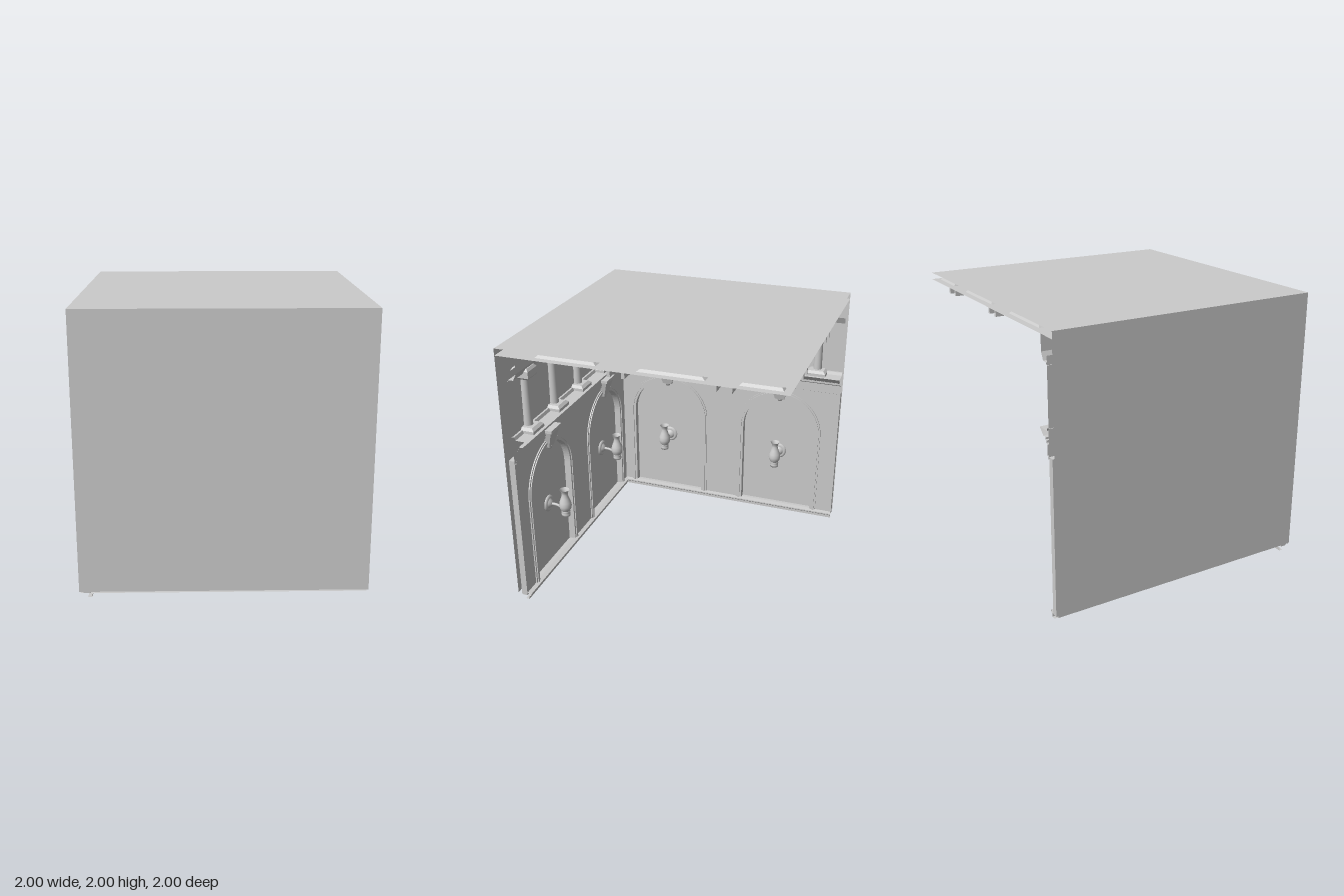
import * as THREE from 'three';

const smooth = new THREE.MeshStandardMaterial({ color: 0xcccccc, side: THREE.DoubleSide });
const flat = new THREE.MeshStandardMaterial({ color: 0xcccccc, side: THREE.DoubleSide, flatShading: true });
const WALL = 0.075; // inner wall face, measured from the outer sheet
const NICHE = 0.03; // back of the arched niches
const SPRING = 0.765; // height where the arches start to curve

function add(parent, name, geometry, material = flat, x = 0, y = 0, z = 0) {
  const mesh = new THREE.Mesh(geometry, material);
  mesh.name = name;
  mesh.position.set(x, y, z);
  parent.add(mesh);
  return mesh;
}

const box = (w, h, d) => new THREE.BoxGeometry(w, h, d);
const vectors = (points) => points.map(([x, y]) => new THREE.Vector2(x, y));
const turned = (points, sides = 24) => new THREE.LatheGeometry(vectors(points), sides);

// Square-plan solid from a profile of [half width, y]
const squareTurned = (points) =>
  new THREE.LatheGeometry(vectors(points.map(([r, y]) => [r * Math.SQRT2, y])), 4, Math.PI / 4);

// Straight moulding: a profile of [depth, y] swept along x from -1 to 1
function moulding(profile) {
  const pos = [];
  for (let i = 0; i < profile.length - 1; i++) {
    const [d0, y0] = profile[i], [d1, y1] = profile[i + 1];
    pos.push(-1, y0, d0, -1, y1, d1, 1, y1, d1, -1, y0, d0, 1, y1, d1, 1, y0, d0);
  }
  const g = new THREE.BufferGeometry();
  g.setAttribute('position', new THREE.Float32BufferAttribute(pos, 3));
  g.computeVertexNormals();
  return g;
}

// Round-headed outline, traced on a path or shape
function arch(path, cx, r, bottom) {
  path.moveTo(cx - r, bottom);
  path.lineTo(cx + r, bottom);
  path.lineTo(cx + r, SPRING);
  path.absarc(cx, SPRING, r, 0, Math.PI, false);
  path.lineTo(cx - r, bottom);
  return path;
}

// Band that follows the arch, open at the foot
function archBand(outer, inner, depth) {
  const s = new THREE.Shape();
  s.moveTo(outer, 0.045);
  s.lineTo(outer, SPRING);
  s.absarc(0, SPRING, outer, 0, Math.PI, false);
  s.lineTo(-outer, 0.045);
  s.lineTo(-inner, 0.045);
  s.lineTo(-inner, SPRING);
  s.absarc(0, SPRING, inner, Math.PI, 0, true);
  s.lineTo(inner, 0.045);
  return new THREE.ExtrudeGeometry(s, { depth, bevelEnabled: false, curveSegments: 20 });
}

function keystone() {
  const g = new THREE.Group();
  g.name = 'keystone';
  const wedge = box(0.15, 0.14, 0.12);
  const p = wedge.attributes.position;
  for (let i = 0; i < p.count; i++) {
    if (p.getY(i) > 0) continue;
    p.setX(i, p.getX(i) * 0.52);
    if (p.getZ(i) > 0) p.setZ(i, 0.02);
  }
  add(g, 'keystoneWedge', wedge, flat, 0, 1.13, 0.08);
  add(g, 'keystoneCap', box(0.16, 0.022, 0.13), flat, 0, 1.21, 0.085);
  add(g, 'keystoneDrop', turned([[0, 1.038], [0.018, 1.042], [0.022, 1.06]], 12), smooth, 0, 0, 0.08);
  return g;
}

function sconce() {
  const g = new THREE.Group();
  g.name = 'sconce';
  const plate = turned([[0.065, 0], [0.065, 0.012], [0.05, 0.02], [0.046, 0.014], [0.035, 0.018], [0.025, 0.035], [0, 0.038]]);
  add(g, 'sconcePlate', plate, smooth, 0, 0.55, NICHE).rotation.x = Math.PI / 2;
  const bend = new THREE.CatmullRomCurve3([[0.55, 0.05], [0.548, 0.11], [0.53, 0.15], [0.51, 0.18]]
    .map(([y, z]) => new THREE.Vector3(0, y, z)));
  add(g, 'sconceArm', new THREE.TubeGeometry(bend, 12, 0.011, 8), smooth);
  add(g, 'sconceCup', turned([[0, 0.47], [0.033, 0.47], [0.035, 0.488], [0.028, 0.495], [0.035, 0.505], [0.03, 0.515]]), smooth, 0, 0, 0.18);
  add(g, 'sconceShade', turned([[0.03, 0.512], [0.044, 0.535], [0.049, 0.56], [0.044, 0.59],
    [0.031, 0.625], [0.023, 0.655], [0.026, 0.675], [0.038, 0.697]]), smooth, 0, 0, 0.18);
  return g;
}

function column() {
  const g = new THREE.Group();
  g.name = 'column';
  add(g, 'columnStub', box(0.06, 0.045, 0.06), flat, 0, 1.315);
  add(g, 'columnBase', squareTurned([[0, 1.335], [0.08, 1.335], [0.08, 1.358], [0.06, 1.376], [0, 1.376]]));
  add(g, 'columnShaft', new THREE.CylinderGeometry(0.03, 0.034, 0.37, 20, 1, true), smooth, 0, 1.555);
  add(g, 'columnCapital', squareTurned([[0, 1.735], [0.052, 1.735], [0.066, 1.75], [0.066, 1.8], [0.052, 1.818], [0, 1.818]]));
  return g;
}

// One wall, its inner face towards +z; corner is the x sign of the room corner
function wall(corner) {
  const g = new THREE.Group();
  g.name = 'wall';
  add(g, 'outerSheet', new THREE.PlaneGeometry(2, 1.96), flat, 0, 1.02, 0);

  const face = new THREE.Shape(vectors([[-1, 0.03], [1, 0.03], [1, 1.17], [-1, 1.17]]));
  for (const cx of [-0.5, 0.5]) face.holes.push(arch(new THREE.Path(), cx, 0.31, 0.045));
  add(g, 'lowerWall', new THREE.ExtrudeGeometry(face, { depth: WALL - NICHE, bevelEnabled: false, curveSegments: 20 }), flat, 0, 0, NICHE);
  add(g, 'upperWall', new THREE.PlaneGeometry(2, 0.66), flat, 0, 1.5, WALL);

  add(g, 'baseboard', moulding([[0.06, 0], [0.09, 0], [0.09, 0.022], [0.108, 0.036], [0.108, 0.046], [0.07, 0.052]]));
  add(g, 'middleCornice', moulding([[0.07, 1.148], [0.088, 1.15], [0.088, 1.168], [0.096, 1.172], [0.096, 1.245],
    [0.108, 1.255], [0.108, 1.27], [0.118, 1.275], [0.118, 1.288], [0.15, 1.29], [0.198, 1.335], [0.1, 1.338], [0.09, 1.36], [0.07, 1.36]]));
  add(g, 'topCornice', moulding([[0.07, 1.77], [0.085, 1.772], [0.085, 1.785], [0.125, 1.787], [0.15, 1.838], [0.15, 1.95]]));

  for (const cx of [-0.5, 0.5]) {
    const bay = new THREE.Group();
    bay.name = 'archBay';
    bay.position.x = cx;
    add(bay, 'nichePanel', new THREE.ShapeGeometry(arch(new THREE.Shape(), 0, 0.32, 0.045), 20), flat, 0, 0, NICHE + 0.001);
    add(bay, 'archBand', archBand(0.36, 0.31, 0.009), flat, 0, 0, WALL);
    add(bay, 'archBead', archBand(0.347, 0.328, 0.017), flat, 0, 0, WALL);
    bay.add(keystone(), sconce());
    g.add(bay);
  }
  for (const u of [0.4, 0, -0.4, -0.8]) {
    const c = column();
    c.position.set(u * corner, 0, 0.095);
    g.add(c);
  }
  return g;
}

function ceiling() {
  const g = new THREE.Group();
  g.name = 'ceiling';
  add(g, 'roofSheet', new THREE.PlaneGeometry(2, 2), flat, 0, 2, 0).rotation.x = -Math.PI / 2;

  // Coffer centres and half sizes, stepping away from the room corner
  const cells = [[-0.51, 0.22], [0.22, 0.23], [0.81, 0.14]];
  const sheet = new THREE.Shape(vectors([[-1, -1], [1, -1], [1, 1], [-1, 1]]));
  cells.forEach(([cx, hx], i) => cells.forEach(([cz, hz], j) => {
    if (i === 0 && j === 0) return; // the corner bay holds the rosette
    sheet.holes.push(new THREE.Path(vectors([[cx - hx, cz - hz], [cx - hx, cz + hz], [cx + hx, cz + hz], [cx + hx, cz - hz]])));
    const coffer = squareTurned([[1, 0], [0.9, 0.018], [0.75, 0.018], [0.62, 0.04], [0, 0.04]]);
    add(g, 'coffer', coffer, flat, cx, 1.95, -cz).scale.set(hx, 1, hz);
  }));
  add(g, 'ceilingSheet', new THREE.ShapeGeometry(sheet), flat, 0, 1.95, 0).rotation.x = -Math.PI / 2;

  // Paired rails crossing the ceiling both ways
  for (const c of [-0.13, 0.58]) {
    for (const side of [-0.05, 0.05]) {
      add(g, 'rail', box(0.022, 0.04, 1.85), flat, c + side, 1.93, -0.075);
      add(g, 'rail', box(1.85, 0.04, 0.022), flat, 0.075, 1.93, -c - side);
    }
  }
  add(g, 'rosette', turned([[0, 1.828], [0.055, 1.83], [0.068, 1.85], [0.068, 1.858], [0.09, 1.862], [0.098, 1.88],
    [0.098, 1.886], [0.115, 1.892], [0.118, 1.91], [0.118, 1.95]], 32), flat, -0.7, 0, 0.7);
  return g;
}

export function createModel() {
  const model = new THREE.Group();
  model.name = 'roomCorner';
  const front = wall(1);
  front.name = 'frontWall';
  front.rotation.y = Math.PI;
  front.position.z = 1;
  const right = wall(-1);
  right.name = 'rightWall';
  right.rotation.y = Math.PI / 2;
  right.position.x = -1;
  model.add(front, right, ceiling());
  return model;
}
